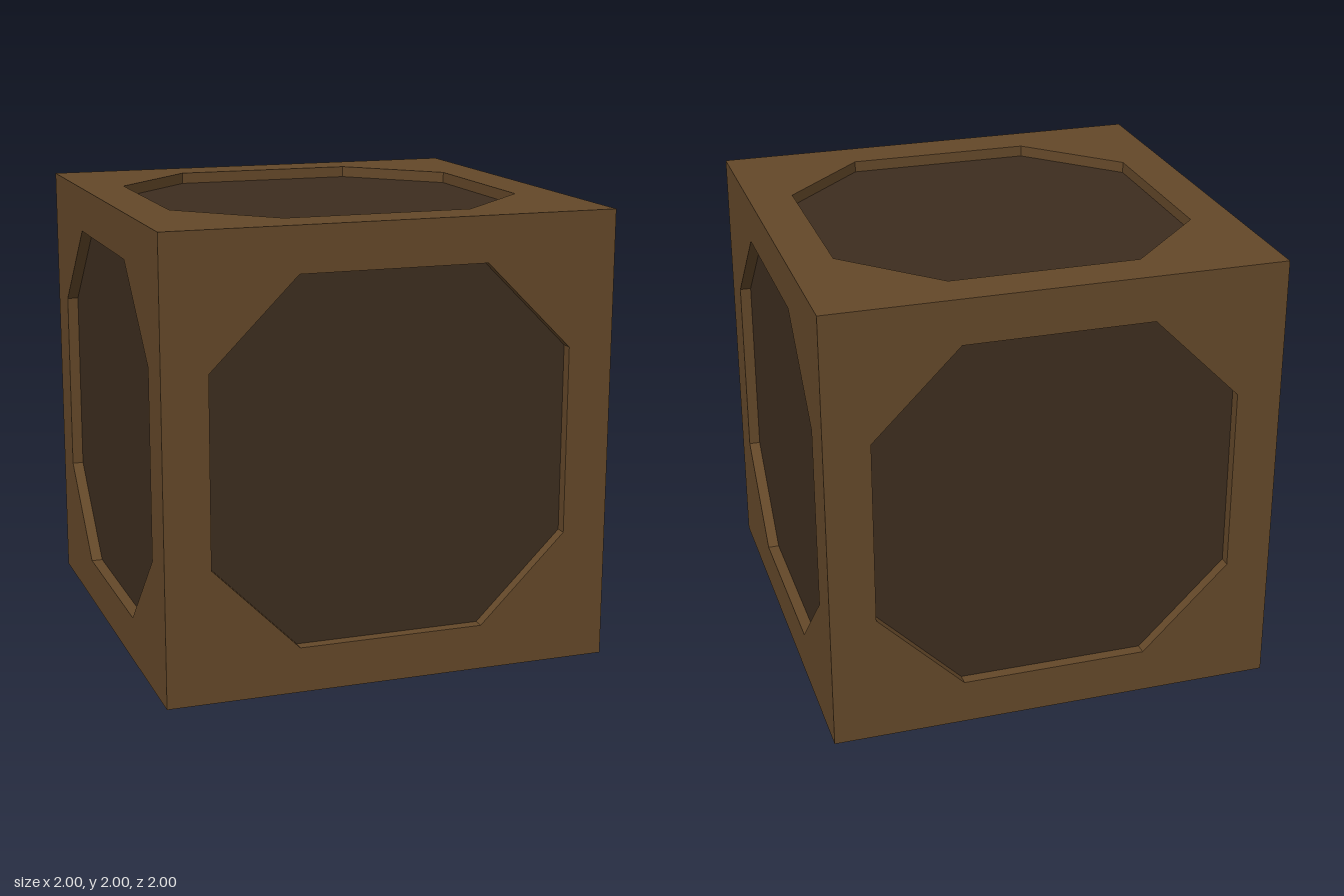
import * as THREE from 'three';

const HALF = 1;       // half the cube's edge
const RIM = 0.8;      // half-width of the octagonal recess
const CORNER = 0.415; // where its chamfers begin
const FLOOR = 0.95;   // recess floor, measured from the cube's centre

// Recess outline, counter-clockwise
const octagon = [
  [RIM, -CORNER], [RIM, CORNER], [CORNER, RIM], [-CORNER, RIM],
  [-RIM, CORNER], [-RIM, -CORNER], [-CORNER, -RIM], [CORNER, -RIM],
].map(([x, y]) => new THREE.Vector2(x, y));

// Inward-facing walls between the frame and the recess floor
function wallGeometry() {
  const positions = [];
  octagon.forEach((a, i) => {
    const b = octagon[(i + 1) % octagon.length];
    positions.push(
      a.x, a.y, FLOOR, a.x, a.y, HALF, b.x, b.y, HALF,
      a.x, a.y, FLOOR, b.x, b.y, HALF, b.x, b.y, FLOOR,
    );
  });
  const geometry = new THREE.BufferGeometry();
  geometry.setAttribute('position', new THREE.Float32BufferAttribute(positions, 3));
  geometry.computeVertexNormals();
  return geometry;
}

export function createModel() {
  const model = new THREE.Group();
  model.name = 'panelledCube';

  const wood = new THREE.MeshStandardMaterial({ color: 0x644829 });
  const darkWood = new THREE.MeshStandardMaterial({ color: 0x3d2d1f });

  // Square face with an octagonal opening
  const frameShape = new THREE.Shape([
    new THREE.Vector2(-HALF, -HALF), new THREE.Vector2(HALF, -HALF),
    new THREE.Vector2(HALF, HALF), new THREE.Vector2(-HALF, HALF),
  ]);
  frameShape.holes.push(new THREE.Path(octagon));
  const frame = new THREE.ShapeGeometry(frameShape).translate(0, 0, HALF);
  const walls = wallGeometry();
  const panel = new THREE.ShapeGeometry(new THREE.Shape(octagon)).translate(0, 0, FLOOR);

  // One identical side per cube face, turned into place
  const q = Math.PI / 2;
  const sides = {
    front: [0, 0], left: [0, q], back: [0, 2 * q], right: [0, -q], top: [-q, 0], bottom: [q, 0],
  };
  for (const [name, [rx, ry]] of Object.entries(sides)) {
    const side = new THREE.Group();
    side.name = `${name}Side`;
    const parts = [['Frame', frame, wood], ['RecessWalls', walls, wood], ['Panel', panel, darkWood]];
    for (const [part, geometry, material] of parts) {
      const mesh = new THREE.Mesh(geometry, material);
      mesh.name = name + part;
      side.add(mesh);
    }
    side.rotation.set(rx, ry, 0);
    side.position.y = HALF;
    model.add(side);
  }
  return model;
}
